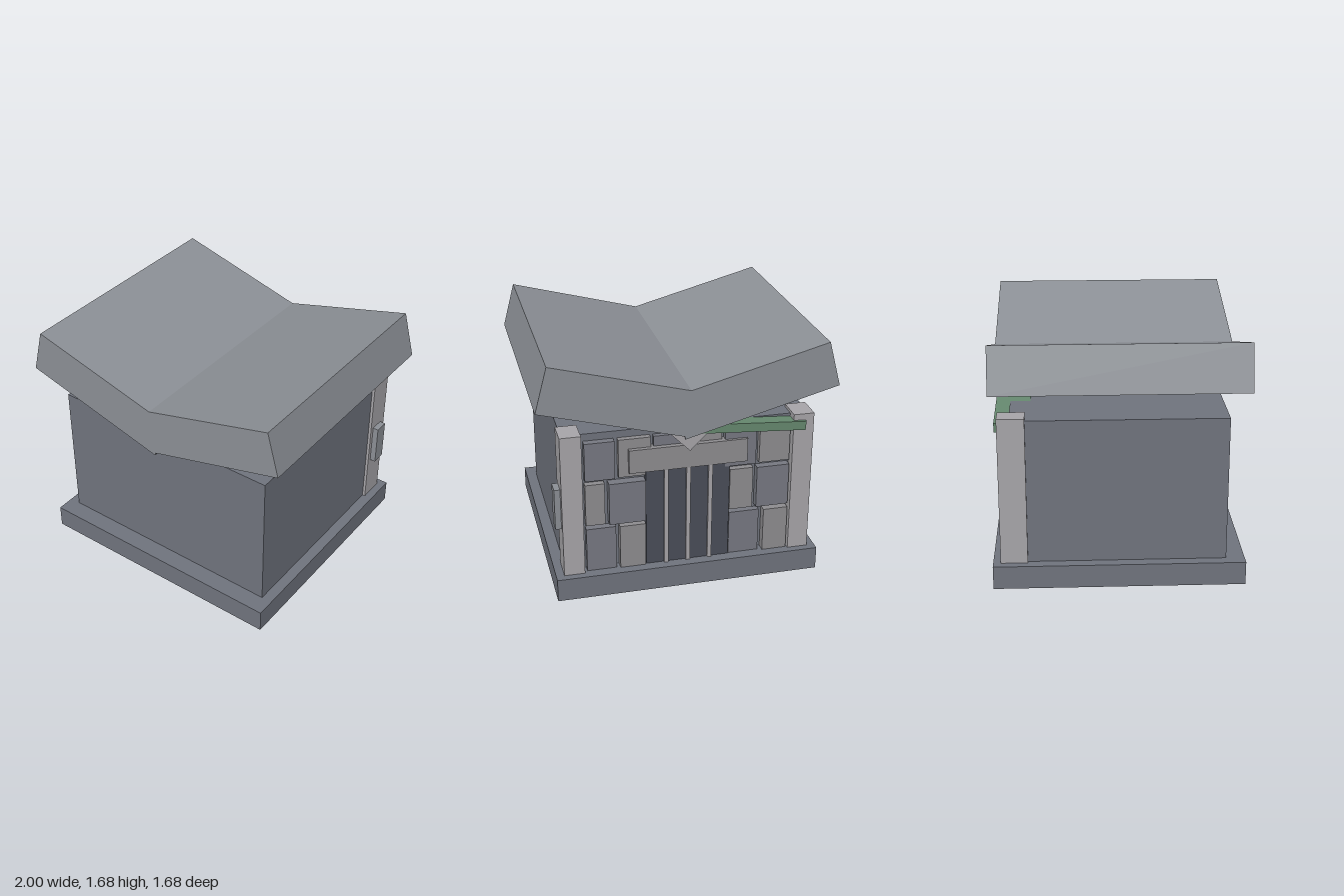
import * as THREE from 'three';

const mat = (color) => new THREE.MeshStandardMaterial({ color, flatShading: true });
const MATS = {
  wall: mat(0x70747e), trim: mat(0xa8a6aa), roof: mat(0x8c9096),
  stoneA: mat(0x8e8d90), stoneB: mat(0x777982), door: mat(0x4a4e59), green: mat(0x66896f),
};

// Box given by its extents along each axis
function box(parent, name, material, [x0, x1], [y0, y1], [z0, z1]) {
  const mesh = new THREE.Mesh(new THREE.BoxGeometry(x1 - x0, y1 - y0, z1 - z0), material);
  mesh.position.set((x0 + x1) / 2, (y0 + y1) / 2, (z0 + z1) / 2);
  mesh.name = name;
  parent.add(mesh);
  return mesh;
}

// Roof slab running inwards from its outer lower edge, sloping down to the middle
function roofSlab(parent, name, side, length) {
  const thick = 0.317;
  const geometry = new THREE.BoxGeometry(length, thick, 1.66);
  geometry.translate(-side * length / 2, thick / 2, 0);
  const mesh = new THREE.Mesh(geometry, MATS.roof);
  mesh.position.set(side * 0.998, 1.37, 0);
  mesh.rotation.z = side * Math.PI / 12;
  mesh.name = name;
  parent.add(mesh);
}

export function createModel() {
  const model = new THREE.Group();
  model.name = 'gatehouse';

  // Plinth and main block
  box(model, 'base', MATS.wall, [-0.905, 0.905], [0, 0.16], [-0.84, 0.84]);
  box(model, 'body', MATS.wall, [-0.83, 0.83], [0.16, 1.15], [-0.715, 0.715]);

  // V-shaped roof, one slab overlapping the other at the valley
  roofSlab(model, 'roofRight', -1, 1.07);
  roofSlab(model, 'roofLeft', 1, 0.99);

  // Corner pillars at the back
  for (const s of [-1, 1]) {
    box(model, s > 0 ? 'pillarLeft' : 'pillarRight', MATS.trim,
      [s * 0.78 - 0.07, s * 0.78 + 0.07], [0.16, 1.17], [-0.79, -0.61]);
  }
  box(model, 'sidePlaque', MATS.roof, [0.84, 0.89], [0.49, 0.78], [-0.74, -0.64]);

  // Stone blocks either side of the door: [x0, x1, front depth]
  const stones = new THREE.Group();
  stones.name = 'stones';
  model.add(stones);
  const rows = [
    { y: [0.16, 0.475], blocks: [[0.49, 0.69, 0.765], [0.29, 0.465, 0.775], [-0.5, -0.29, 0.76], [-0.7, -0.53, 0.775]] },
    { y: [0.5, 0.8], blocks: [[0.56, 0.69, 0.76], [0.29, 0.535, 0.78], [-0.45, -0.29, 0.76], [-0.7, -0.475, 0.77]] },
    { y: [0.83, 1.1], blocks: [[0.49, 0.69, 0.765], [0.25, 0.465, 0.755], [0.02, 0.23, 0.75],
      [-0.23, 0, 0.75], [-0.465, -0.25, 0.765], [-0.7, -0.49, 0.76]] },
  ];
  rows.forEach(({ y, blocks }, r) => blocks.forEach(([x0, x1, d], i) =>
    box(stones, 'stone', (r + i) % 2 ? MATS.stoneA : MATS.stoneB, [x0, x1], y, [-d, -0.7])));

  // Plank door with pale battens
  for (let i = 0; i < 4; i++) {
    const x = -0.285 + i * 0.1425;
    box(model, 'doorPlank', MATS.door, [x, x + 0.1425], [0.16, 0.88], [-0.765, -0.7]);
  }
  for (const x of [-0.15, 0, 0.15]) {
    box(model, 'doorBatten', MATS.trim, [x - 0.014, x + 0.014], [0.16, 0.87], [-0.78, -0.7]);
  }
  box(model, 'lintel', MATS.stoneA, [-0.4, 0.4], [0.865, 1.03], [-0.785, -0.7]);

  // Diamond ornament under the roof valley
  const diamond = box(model, 'diamond', MATS.trim, [-0.1, 0.1], [1.04, 1.24], [-0.81, -0.7]);
  diamond.rotation.z = Math.PI / 4;

  // Tilted green board resting under the roof
  const board = box(model, 'greenBoard', MATS.green, [-0.79, -0.08], [1.087, 1.149], [-0.81, -0.58]);
  board.rotation.z = 0.07;

  return model;
}
